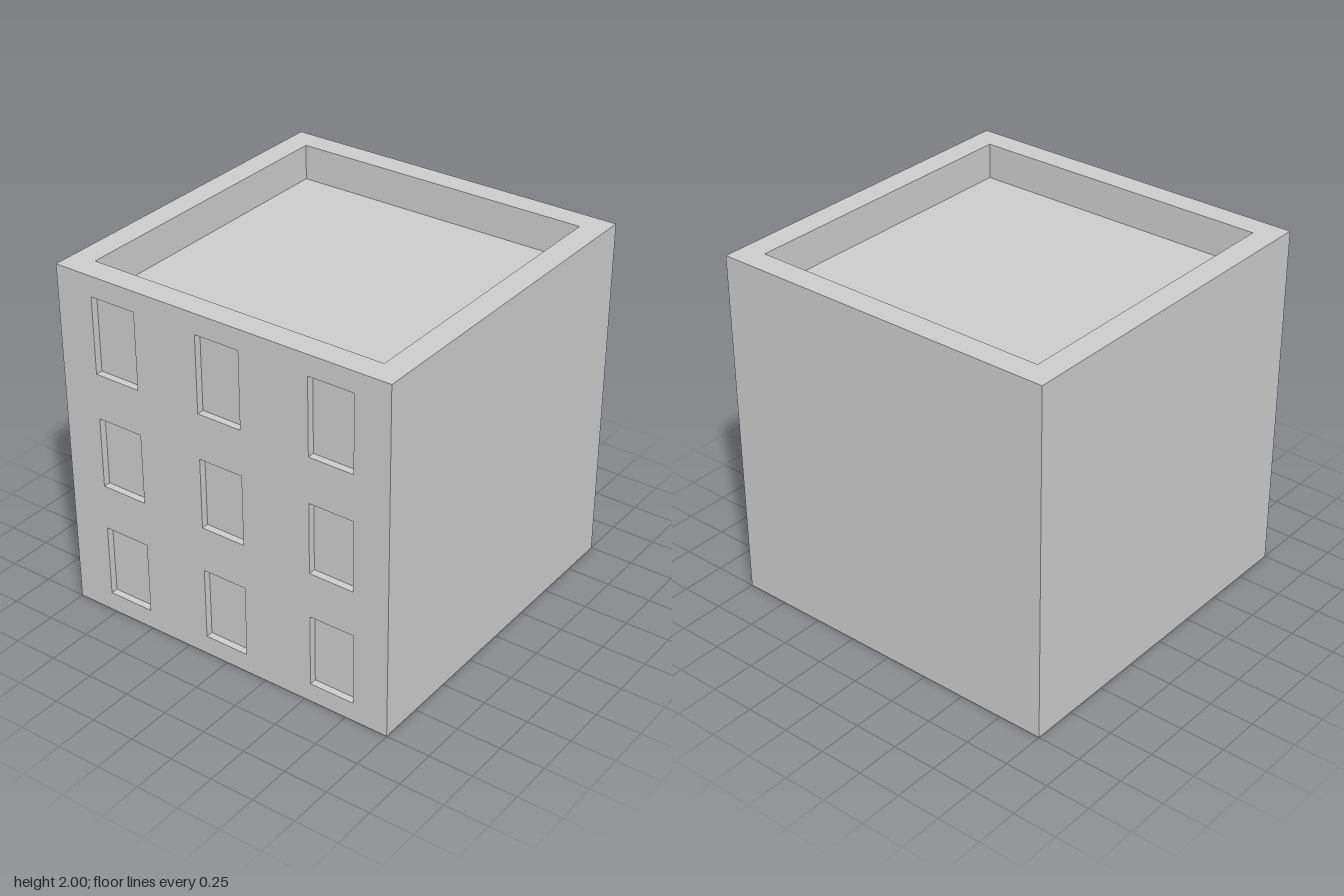
import * as THREE from 'three';

const material = new THREE.MeshStandardMaterial({ color: 0xcccccc, side: THREE.DoubleSide });

// Box with some sides left out (0 +x, 1 -x, 2 +y, 3 -y, 4 +z, 5 -z); inward turns the faces inside
function openBox(w, h, d, omit, inward = false) {
  const geometry = new THREE.BoxGeometry(w, h, d);
  const index = Array.from(geometry.index.array).filter((_, i) => !omit.includes(Math.floor(i / 6)));
  geometry.clearGroups();
  geometry.setIndex(inward ? index.reverse() : index);
  if (inward) geometry.computeVertexNormals();
  return geometry;
}

function rectangle(Type, x0, x1, y0, y1) {
  return new Type([[x0, y0], [x1, y0], [x1, y1], [x0, y1]].map(([x, y]) => new THREE.Vector2(x, y)));
}

export function createModel() {
  const model = new THREE.Group();
  const add = (name, geometry, x = 0, y = 0, z = 0) => {
    const mesh = new THREE.Mesh(geometry, material);
    mesh.name = name;
    mesh.position.set(x, y, z);
    model.add(mesh);
  };

  // Thin side and back walls, open underneath
  add('sideAndBackWalls', openBox(2, 2, 2, [2, 3, 4]), 0, 1, 0);

  // Front wall with a grid of shallow window recesses
  const columns = [[-0.78, -0.51], [-0.13, 0.13], [0.535, 0.795]];
  const rows = [[0.11, 0.525], [0.785, 1.19], [1.45, 1.885]];
  const depth = 0.04;
  const front = rectangle(THREE.Shape, -1, 1, 0, 2);
  for (const [y0, y1] of rows) {
    for (const [x0, x1] of columns) {
      front.holes.push(rectangle(THREE.Path, x0, x1, y0, y1));
      add('windowRecess', openBox(x1 - x0, y1 - y0, depth, [4], true),
        (x0 + x1) / 2, (y0 + y1) / 2, 1 - depth / 2);
    }
  }
  add('frontWall', new THREE.ShapeGeometry(front), 0, 0, 1);

  // Flat parapet rim around the sunken roof
  const inner = 0.865, sink = 0.2;
  const rim = rectangle(THREE.Shape, -1, 1, -1, 1);
  rim.holes.push(rectangle(THREE.Path, -inner, inner, -inner, inner));
  add('parapetRim', new THREE.ShapeGeometry(rim).rotateX(-Math.PI / 2), 0, 2, 0);
  add('sunkenRoof', openBox(2 * inner, sink, 2 * inner, [2], true), 0, 2 - sink / 2, 0);

  return model;
}
